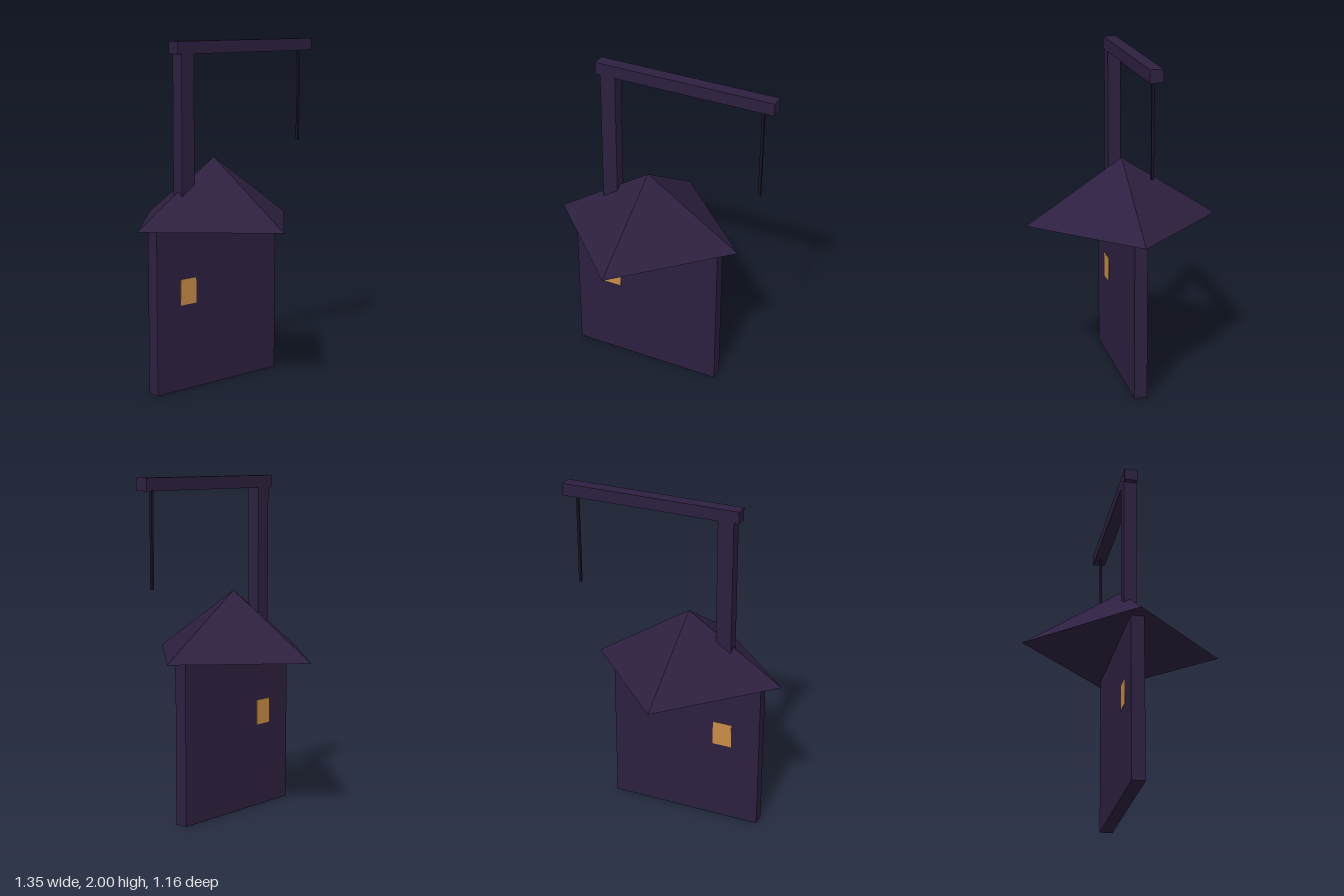
import * as THREE from 'three';

const timber = new THREE.MeshStandardMaterial({ name: 'dark purple timber', color: 0x2d2040, flatShading: true });
const ropeDark = new THREE.MeshStandardMaterial({ name: 'dark rope', color: 0x1a1428, flatShading: true });
const amber = new THREE.MeshStandardMaterial({ name: 'amber window', color: 0xc88c46, flatShading: true });

const DEPTH = 0.076; // shared thickness of wall, post and beam
const WALL_X = -0.097; // centre line of wall and roof

// Box given by its x and y limits, centred on z
function slab(name, x0, x1, y0, y1, depth, material) {
  const mesh = new THREE.Mesh(new THREE.BoxGeometry(x1 - x0, y1 - y0, depth), material);
  mesh.name = name;
  mesh.position.set((x0 + x1) / 2, (y0 + y1) / 2, 0);
  return mesh;
}

export function createModel() {
  const model = new THREE.Group();
  model.name = 'houseWithHoist';

  // Thin house wall
  model.add(slab('houseWall', WALL_X - 0.466, WALL_X + 0.466, 0, 0.953, DEPTH, timber));

  // Four-sided pyramid roof with corners on the axes
  const roof = new THREE.Mesh(new THREE.ConeGeometry(0.578, 0.38, 4), timber);
  roof.name = 'roof';
  roof.position.set(WALL_X, 0.953 + 0.19, 0);
  model.add(roof);

  // Lit window on both faces of the wall
  for (const side of [1, -1]) {
    const pane = slab(side > 0 ? 'frontWindow' : 'backWindow', -0.388, -0.271, 0.5, 0.65, 0.004, amber);
    pane.position.z = side * DEPTH / 2;
    model.add(pane);
  }

  // Hoist: post rising through the roof, beam and hanging rope
  const hoist = new THREE.Group();
  hoist.name = 'hoist';
  hoist.add(
    slab('post', -0.373, -0.28, 0.96, 1.928, DEPTH, timber),
    slab('beam', -0.403, 0.672, 1.928, 2, DEPTH, timber),
    slab('rope', 0.589, 0.604, 1.387, 1.928, 0.015, ropeDark),
  );
  model.add(hoist);

  return model;
}
